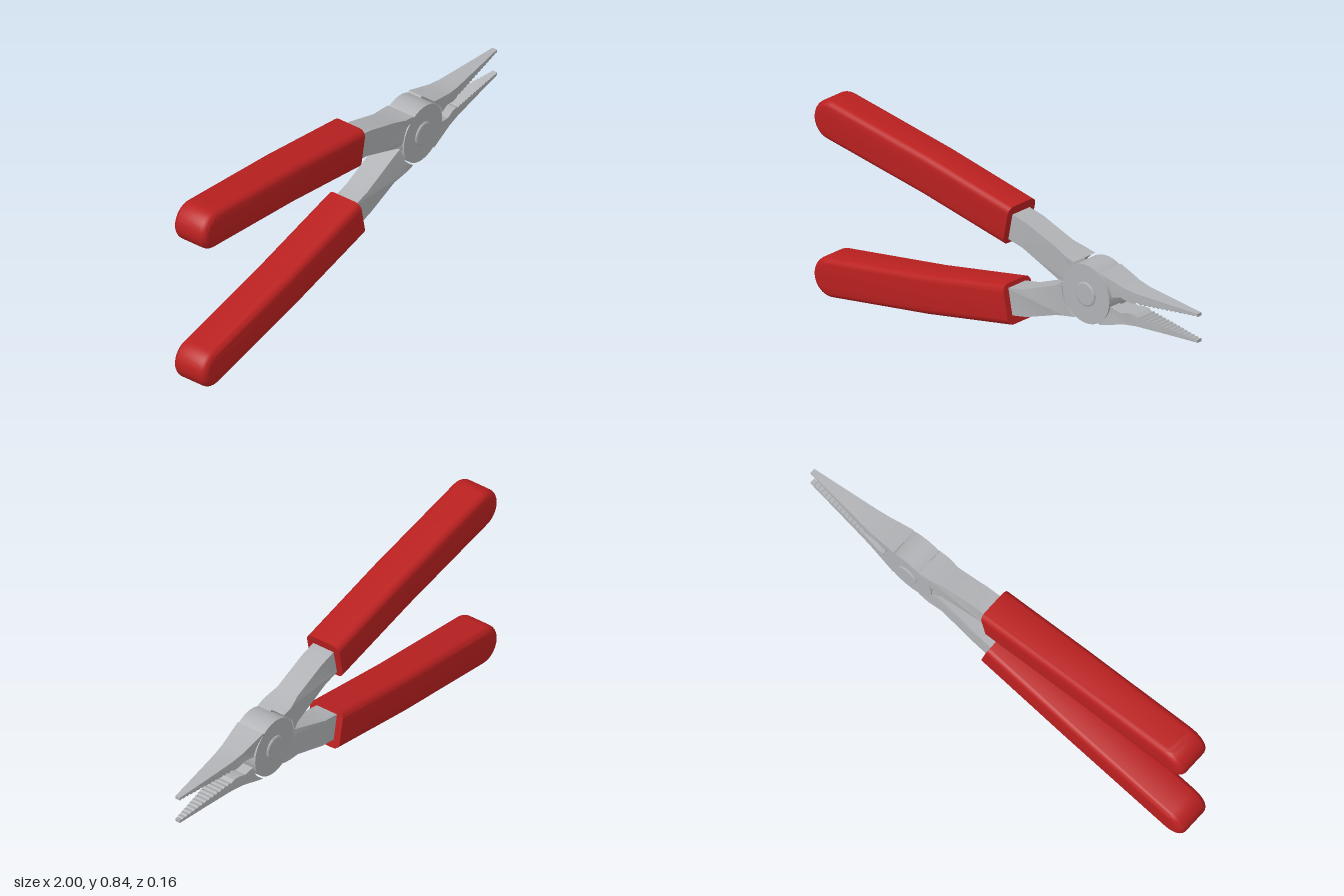
import * as THREE from 'three';
import { toCreasedNormals } from 'three/addons/utils/BufferGeometryUtils.js';

const PX = 0.45, PY = 0.42; // pivot
const DISC_R = 0.125, RECESS_R = 0.134;

const steel = new THREE.MeshStandardMaterial({ color: 0xb0b2b5 });
steel.name = 'steel';
const redGrip = new THREE.MeshStandardMaterial({ color: 0xba2020 });
redGrip.name = 'redGrip';

function mesh(name, geometry, material) {
  const m = new THREE.Mesh(geometry, material);
  m.name = name;
  return m;
}

// Half thickness of the steel along x: slim arm, thicker joint, tapering nose
function halfWidth(x) {
  if (x < 0.34) return THREE.MathUtils.clamp(0.05 + (x - 0.28) * 0.2, 0.05, 0.062);
  if (x < 0.53) return 0.062;
  return 0.062 - (x - 0.53) / 0.47 * 0.051;
}

// Points on an arc around the pivot, angles in degrees
function pivotArc(r, from, to, n = 12) {
  return Array.from({ length: n + 1 }, (_, i) => {
    const a = THREE.MathUtils.degToRad(from + (to - from) * i / n);
    return [PX + r * Math.cos(a), PY + r * Math.sin(a)];
  });
}

// Plate following the thickness rule, between factors z0 and z1
function slab(points, z0, z1) {
  const shape = new THREE.Shape(points.map(p => new THREE.Vector2(p[0], p[1])));
  const g = new THREE.ExtrudeGeometry(shape, { depth: 1, bevelEnabled: false });
  const p = g.attributes.position;
  for (let i = 0; i < p.count; i++) {
    p.setZ(i, (z0 + (z1 - z0) * p.getZ(i)) * halfWidth(p.getX(i)));
  }
  g.computeVertexNormals();
  return toCreasedNormals(g, 0.45);
}

// A limb runs into the disc in front and is cut by the recess arc behind
function limb(name, outline, arc) {
  const group = new THREE.Group();
  group.name = name;
  group.add(mesh(name + 'Front', slab([...outline, arc[0], [PX, PY], arc[arc.length - 1]], 0, 1), steel));
  group.add(mesh(name + 'Back', slab([...outline, ...arc], -1, 0), steel));
  return group;
}

// Lower jaw outline with a row of teeth on the inner edge
function jawOutline() {
  const pts = [[0.64, 0.342], [0.70, 0.35], [0.865, 0.355], [1, 0.358]];
  const teeth = 14, x0 = 0.70, x1 = 1;
  for (let i = teeth; i > 0; i--) {
    const edge = k => {
      const t = k / teeth;
      return [x0 + (x1 - x0) * t, 0.396 - 0.025 * t];
    };
    const a = edge(i), b = edge(i - 0.75);
    pts.push(a, [b[0], b[1] - 0.008 + 0.003 * i / teeth]);
  }
  pts.push([0.69, 0.397], [0.66, 0.396], [0.625, 0.386], [0.60, 0.392]);
  return pts;
}

// Rounded sleeve: stacked outlines in z, inset near both faces
function gripGeometry() {
  const centre = [[-0.915, 0.757], [-0.4, 0.675], [0.037, 0.59]].map(p => new THREE.Vector2(...p));
  const R = 0.085, H = 0.08, B = 0.03, STEPS = 6;
  const dirs = [0, 1].map(i => centre[i + 1].clone().sub(centre[i]).normalize());
  const up = d => new THREE.Vector2(-d.y, d.x);
  const nMid = up(dirs[0].clone().add(dirs[1]).normalize()), nEnd = up(dirs[1]);
  const a0 = Math.atan2(dirs[0].y, dirs[0].x) + Math.PI / 2;

  const outline = r => {
    const pts = [centre[2].clone().addScaledVector(nEnd, -r), centre[2].clone().addScaledVector(nEnd, r),
      centre[1].clone().addScaledVector(nMid, r)];
    for (let i = 0; i <= 20; i++) {
      const a = a0 + Math.PI * i / 20;
      pts.push(new THREE.Vector2(centre[0].x + r * Math.cos(a), centre[0].y + r * Math.sin(a)));
    }
    pts.push(centre[1].clone().addScaledVector(nMid, -r));
    return pts;
  };

  const layers = [];
  for (const side of [-1, 1]) {
    for (let i = 0; i <= STEPS; i++) {
      const t = (side < 0 ? STEPS - i : i) / STEPS * Math.PI / 2;
      layers.push({ z: side * (H - B + B * Math.sin(t)), pts: outline(R - B * (1 - Math.cos(t))) });
    }
  }
  const n = layers[0].pts.length, pos = [], idx = [];
  layers.forEach(l => l.pts.forEach(p => pos.push(p.x, p.y, l.z)));
  for (let l = 0; l < layers.length - 1; l++) {
    for (let i = 0; i < n; i++) {
      const j = (i + 1) % n, a = l * n + i, b = l * n + j;
      idx.push(a, b, b + n, a, b + n, a + n);
    }
  }
  const top = (layers.length - 1) * n;
  for (const [a, b, c] of THREE.ShapeUtils.triangulateShape(layers[0].pts, [])) {
    idx.push(top + a, top + b, top + c, a, c, b);
  }
  const g = new THREE.BufferGeometry();
  g.setAttribute('position', new THREE.Float32BufferAttribute(pos, 3));
  g.setIndex(idx);
  return toCreasedNormals(g, 0.7);
}

// One half: upper handle, front disc and lower jaw
function createHalf(name) {
  const half = new THREE.Group();
  half.name = name;
  half.add(mesh('grip', gripGeometry(), redGrip));

  const arm = [[0.317, 0.42], [0.28, 0.437], [0.1, 0.51], [0, 0.53]].reverse();
  const armTop = [[0.34, 0.547], [0.28, 0.565], [0.12, 0.622], [0.05, 0.636], [0, 0.645]];
  half.add(limb('arm', [...armTop, ...arm], pivotArc(RECESS_R, 183, 118)));
  half.add(limb('jaw', jawOutline(), pivotArc(RECESS_R, -10, -57)));

  const disc = new THREE.CylinderGeometry(DISC_R, DISC_R, 0.062, 48).rotateX(Math.PI / 2);
  const joint = mesh('jointDisc', disc, steel);
  joint.position.set(PX, PY, 0.031);
  half.add(joint);
  return half;
}

export function createModel() {
  const model = new THREE.Group();
  model.name = 'pliers';
  model.add(createHalf('frontHalf'));

  // The second half is the first turned over about the long axis
  const back = createHalf('backHalf');
  back.rotation.x = Math.PI;
  back.position.y = 2 * PY;
  model.add(back);

  // Rivet with slightly rounded rims
  const profile = [[0, -0.069], [0.045, -0.069], [0.051, -0.066], [0.051, 0.066], [0.045, 0.069], [0, 0.069]];
  const rivetGeo = new THREE.LatheGeometry(profile.map(p => new THREE.Vector2(...p)), 40).rotateX(Math.PI / 2);
  const rivet = mesh('rivet', toCreasedNormals(rivetGeo, 0.4), steel);
  rivet.position.set(PX, PY, 0);
  model.add(rivet);
  return model;
}
